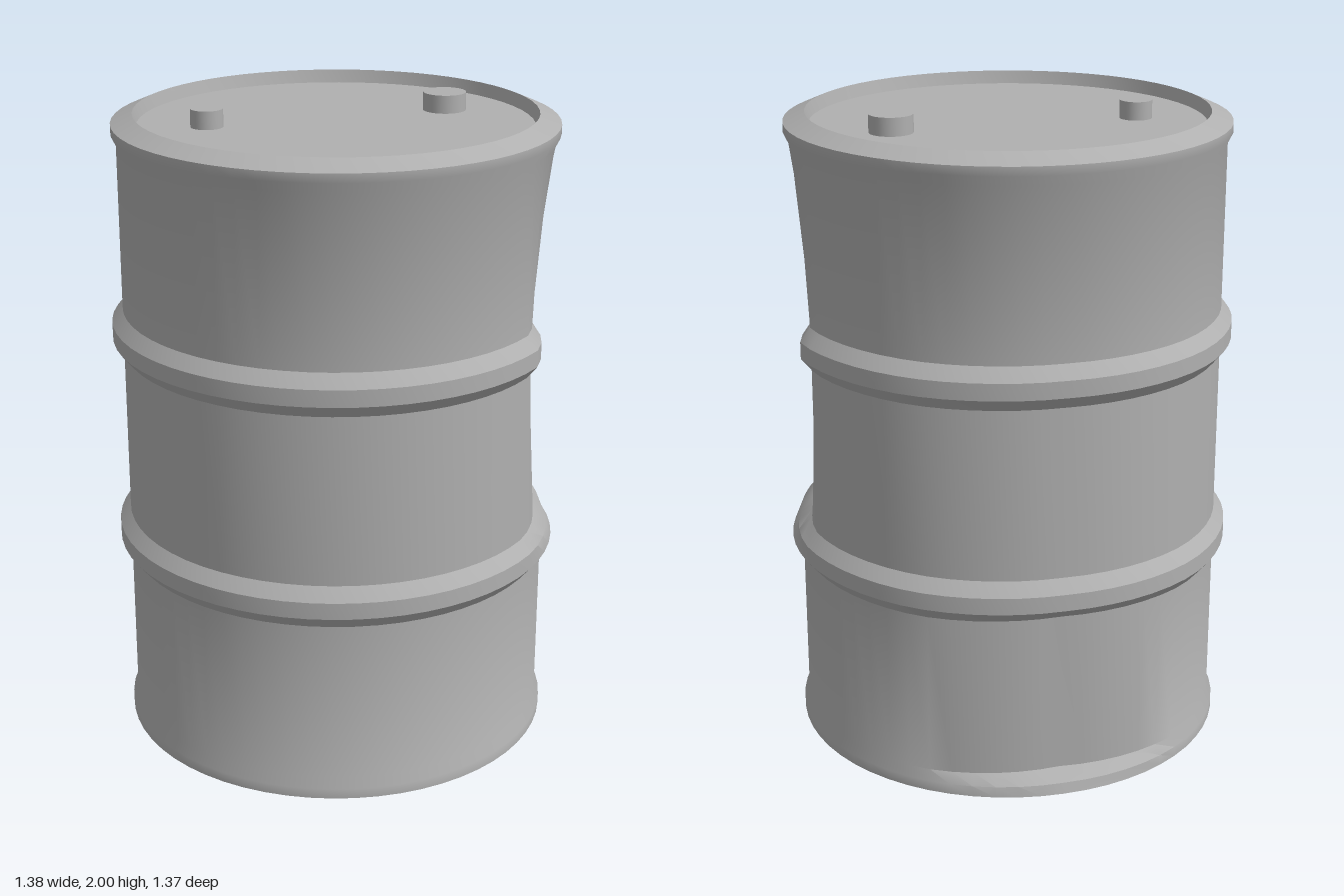
import * as THREE from 'three';
import { toCreasedNormals } from 'three/addons/utils/BufferGeometryUtils.js';

const SEGMENTS = 60;
const rad = THREE.MathUtils.degToRad;

// Straight-line lookup in a list of [height, value] pairs
function lookup(table, y) {
  for (let i = 1; i < table.length; i++) {
    const [y0, v0] = table[i - 1], [y1, v1] = table[i];
    if (y >= y0 && y <= y1) return v0 + (v1 - v0) * (y - y0) / (y1 - y0);
  }
  return 0;
}

// Each dent: direction from +x towards +z, half widths on either side, depth by height
const dents = [
  { angle: rad(24), wide: rad(36), narrow: rad(25), power: 1.25,
    depth: [[0.64, 0], [0.73, 0.05], [1.255, 0.155], [1.30, 0.165], [1.35, 0.165], [1.39, 0.15], [1.90, 0]] },
  { angle: rad(-78), wide: rad(38), narrow: rad(38), power: 1,
    depth: [[0.02, 0], [0.06, 0.012], [0.09, 0.045], [0.60, 0.03], [0.64, 0.015], [1.255, 0.015], [1.90, 0]] },
];

function dentDepth(angle, y) {
  let total = 0;
  for (const d of dents) {
    const diff = Math.atan2(Math.sin(angle - d.angle), Math.cos(angle - d.angle));
    const t = Math.abs(diff) / (diff > 0 ? d.wide : d.narrow);
    if (t < 1) total += lookup(d.depth, y) * Math.pow(1 - t, d.power);
  }
  return total;
}

// Turned shell whose vertices are pushed inwards by the dents
function dentedShell(profile) {
  const geometry = new THREE.LatheGeometry(profile.map(([r, y]) => new THREE.Vector2(r, y)), SEGMENTS);
  const p = geometry.attributes.position;
  for (let i = 0; i < p.count; i++) {
    const x = p.getX(i), y = p.getY(i), z = p.getZ(i), r = Math.hypot(x, z);
    if (r < 0.64) continue;
    const k = (r - dentDepth(Math.atan2(z, x), y)) / r;
    p.setXYZ(i, x * k, y, z * k);
  }
  return toCreasedNormals(geometry, 0.6);
}

// Raised hoop between two body heights
const hoop = (y) => [[0.655, y], [0.688, y + 0.04], [0.688, y + 0.092], [0.655, y + 0.132]];

export function createModel() {
  const group = new THREE.Group();
  const steel = new THREE.MeshStandardMaterial({ color: 0xb0b0b0 });
  steel.name = 'grey steel';

  const add = (name, geometry, x = 0, y = 0, z = 0) => {
    const mesh = new THREE.Mesh(geometry, steel);
    mesh.name = name;
    mesh.position.set(x, y, z);
    group.add(mesh);
  };

  // Base, wall with two hoops, rims and recessed lid
  add('drumBody', dentedShell([
    [0, 0], [0.61, 0], [0.67, 0.028], [0.67, 0.06], [0.655, 0.09],
    ...hoop(0.60), ...hoop(1.257),
    [0.655, 1.90], [0.67, 1.93], [0.67, 1.957],
    [0.605, 1.985], [0.595, 1.945], [0, 1.945],
  ]));

  // Filler caps on the lid
  add('largeCap', new THREE.CylinderGeometry(0.066, 0.066, 0.06, 32), 0.38, 1.97, 0);
  add('smallCap', new THREE.CylinderGeometry(0.049, 0.049, 0.06, 32), -0.36, 1.97, -0.137);

  return group;
}
